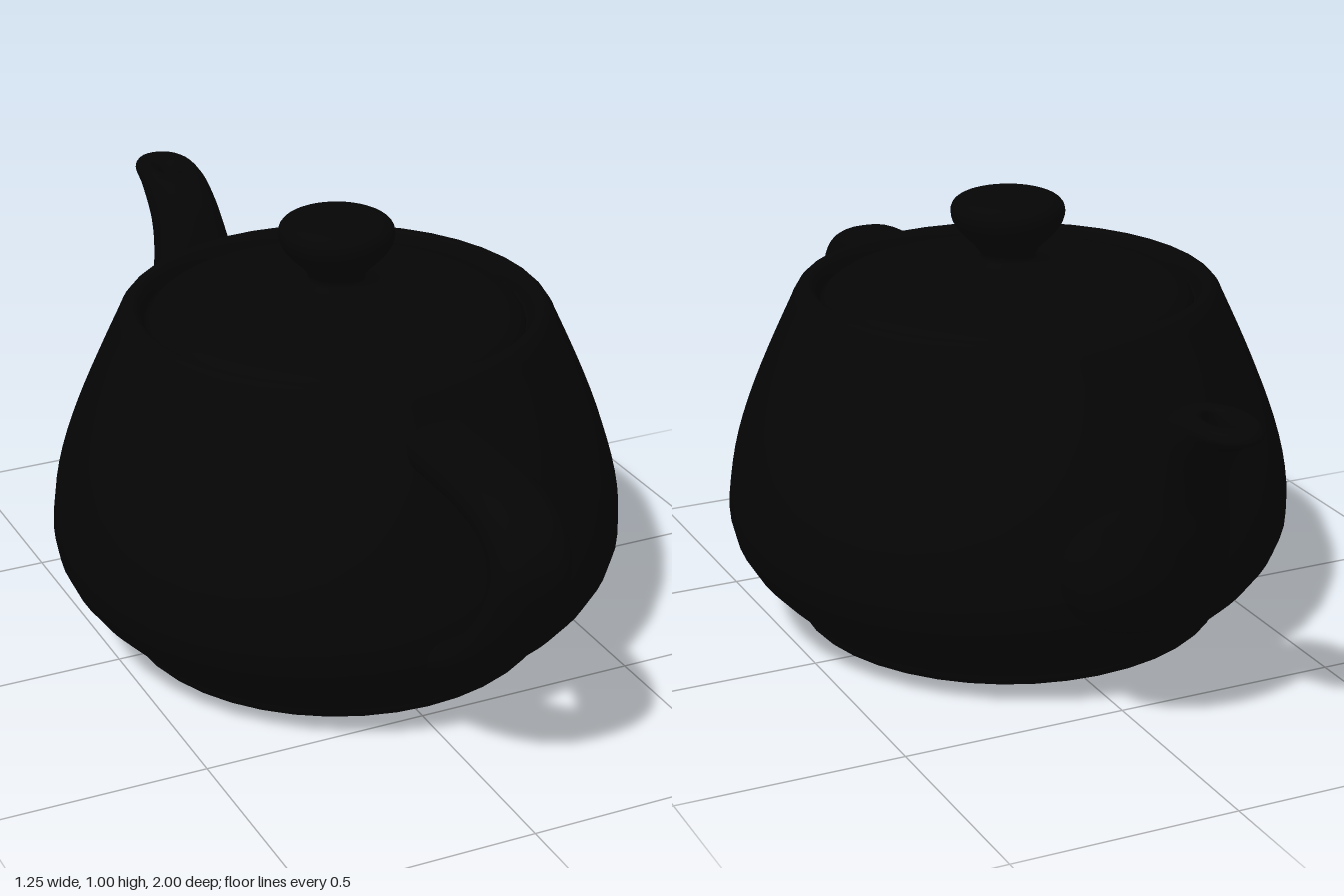
import * as THREE from 'three';

const material = new THREE.MeshStandardMaterial({ color: 0x050505 });
const SIDES = 40;
const v2 = ([x, y]) => new THREE.Vector2(x, y);

// Points along a chain of cubic Bezier segments, four control points each
function bezierProfile(segments, divisions = 12) {
  const points = [];
  segments.forEach((s, i) => {
    const pts = new THREE.CubicBezierCurve(...s.map(v2)).getPoints(divisions);
    points.push(...(i ? pts.slice(1) : pts));
  });
  return points;
}

function addMesh(group, name, geometry) {
  const mesh = new THREE.Mesh(geometry, material);
  mesh.name = name;
  group.add(mesh);
  return mesh;
}

// Tube swept in the yz plane. Each row is [z1, y1, z2, y2, halfWidth]:
// two opposite edges of a cross-section and its half width along x.
function sweep(rows, steps, roundness, sides = 28) {
  const edgeA = new THREE.CatmullRomCurve3(rows.map(r => new THREE.Vector3(r[4], r[1], r[0])));
  const edgeB = new THREE.CatmullRomCurve3(rows.map(r => new THREE.Vector3(r[4], r[3], r[2])));
  const positions = [], index = [];
  const soft = s => Math.sign(s) * Math.abs(s) ** roundness;
  for (let i = 0; i <= steps; i++) {
    const a = edgeA.getPoint(i / steps), b = edgeB.getPoint(i / steps);
    for (let j = 0; j < sides; j++) {
      const angle = j / sides * Math.PI * 2;
      const c = soft(Math.cos(angle)), s = soft(Math.sin(angle));
      positions.push(a.x * s,
        (a.y + b.y) / 2 + (a.y - b.y) / 2 * c,
        (a.z + b.z) / 2 + (a.z - b.z) / 2 * c);
      if (i < steps) {
        const k = (j + 1) % sides;
        const p = i * sides + j, q = i * sides + k;
        index.push(p, q, p + sides, q, q + sides, p + sides);
      }
    }
  }
  const geometry = new THREE.BufferGeometry();
  geometry.setAttribute('position', new THREE.Float32BufferAttribute(positions, 3));
  geometry.setIndex(index);
  geometry.computeVertexNormals();
  return geometry;
}

export function createModel() {
  const model = new THREE.Group();
  model.name = 'teapot';

  // Turned parts share one vertical axis, set slightly towards the handle
  const turned = new THREE.Group();
  turned.name = 'pot';
  turned.position.z = 0.065;
  model.add(turned);

  // Rounded base
  const base = bezierProfile([[[0, 0], [0.44, 0], [0.475, 0.03], [0.475, 0.062]]]);
  addMesh(turned, 'base', new THREE.LatheGeometry(base, SIDES));

  // Belly, shoulder, rolled rim and the ledge under the lid
  const body = bezierProfile([
    [[0.475, 0.062], [0.475, 0.085], [0.625, 0.155], [0.625, 0.293]],
    [[0.625, 0.293], [0.625, 0.435], [0.553, 0.595], [0.477, 0.757]],
    [[0.477, 0.757], [0.457, 0.812], [0.425, 0.812], [0.415, 0.765]],
    [[0.415, 0.765], [0.413, 0.755], [0.4, 0.75], [0.37, 0.75]],
  ]);
  addMesh(turned, 'body', new THREE.LatheGeometry(body, SIDES));

  // Lid with its flared knob
  const lid = bezierProfile([
    [[0.41, 0.745], [0.411, 0.78], [0.38, 0.793], [0.34, 0.8]],
    [[0.34, 0.8], [0.22, 0.82], [0.025, 0.83], [0.064, 0.866]],
    [[0.064, 0.866], [0.075, 0.89], [0.125, 0.915], [0.125, 0.955]],
    [[0.125, 0.955], [0.125, 0.99], [0.08, 0.996], [0, 0.996]],
  ]);
  addMesh(turned, 'lid', new THREE.LatheGeometry(lid, SIDES));

  // Handle: inner edge, outer edge, half width
  addMesh(model, 'handle', sweep([
    [0.46, 0.623, 0.46, 0.72, 0.083],
    [0.62, 0.623, 0.62, 0.721, 0.083],
    [0.77, 0.619, 0.78, 0.719, 0.083],
    [0.848, 0.602, 0.895, 0.702, 0.083],
    [0.876, 0.58, 0.965, 0.66, 0.083],
    [0.882, 0.55, 1.0, 0.59, 0.083],
    [0.868, 0.495, 0.982, 0.495, 0.083],
    [0.83, 0.425, 0.925, 0.39, 0.083],
    [0.762, 0.35, 0.826, 0.297, 0.083],
    [0.68, 0.293, 0.72, 0.226, 0.083],
    [0.54, 0.235, 0.57, 0.15, 0.083],
  ], 60, 0.8));

  // Spout: upper edge, lower edge, half width; ends in a lip and a small bore
  addMesh(model, 'spout', sweep([
    [-0.42, 0.46, -0.42, 0.195, 0.165],
    [-0.5, 0.469, -0.52, 0.208, 0.165],
    [-0.58, 0.484, -0.63, 0.237, 0.161],
    [-0.635, 0.53, -0.735, 0.34, 0.138],
    [-0.665, 0.6, -0.79, 0.48, 0.111],
    [-0.693, 0.682, -0.818, 0.585, 0.09],
    [-0.728, 0.745, -0.86, 0.665, 0.079],
    [-0.78, 0.783, -0.935, 0.735, 0.073],
    [-0.808, 0.789, -0.997, 0.77, 0.068],
    [-0.82, 0.79, -0.985, 0.79, 0.058],
    [-0.83, 0.78, -0.92, 0.778, 0.024],
    [-0.79, 0.72, -0.86, 0.7, 0.02],
    [-0.79, 0.66, -0.79, 0.66, 0],
  ], 72, 0.9));

  return model;
}
